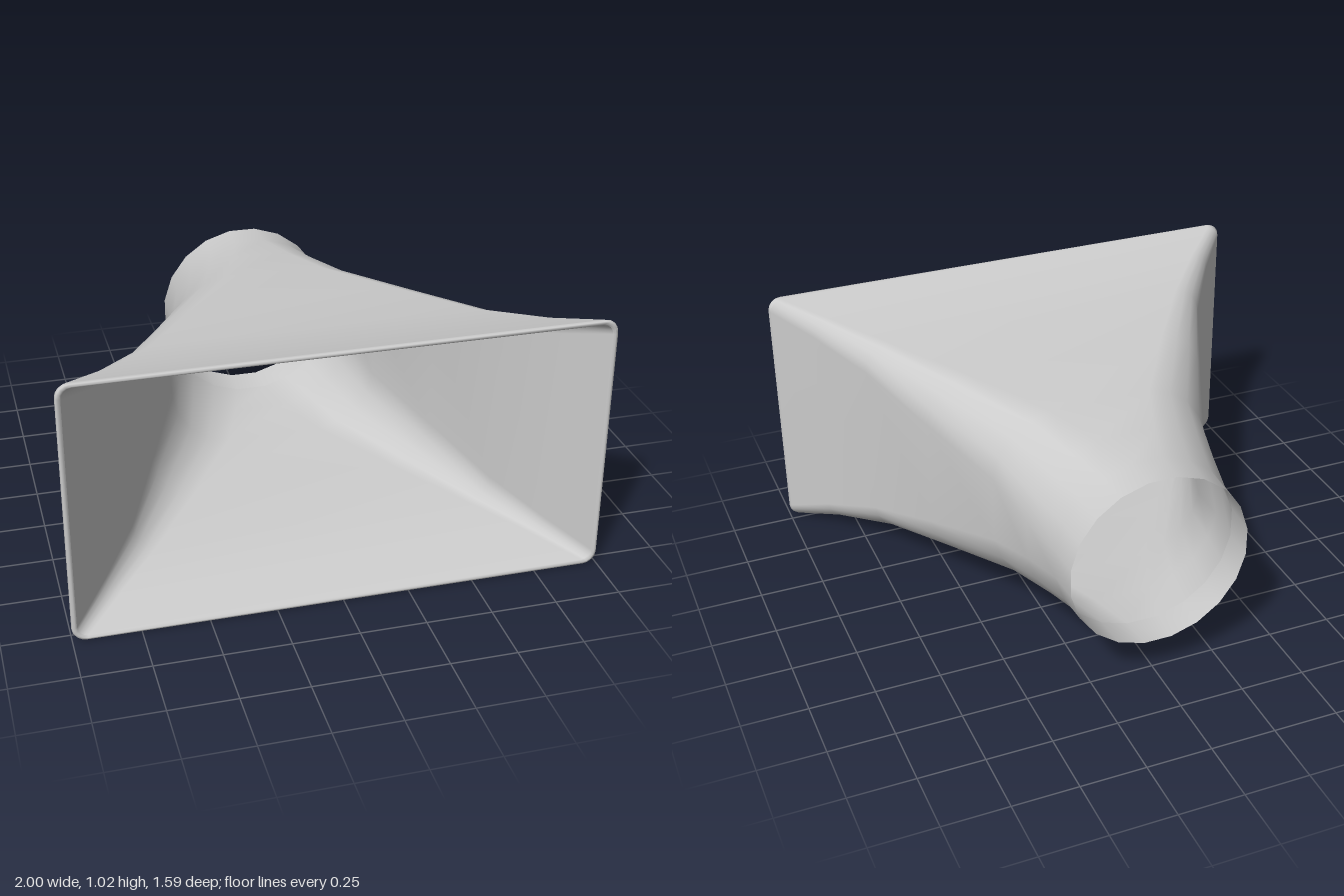
import * as THREE from 'three';

const ARC = 5; // points per corner, 20 around each ring

// Ring: z, half width, half height, corner radius, roundness (0 rectangle, 1 circle), centre y
const OUTER = [
  [-0.795, 0.35, 0.35, 0.35, 1, 0.501],
  [-0.66, 0.356, 0.352, 0.348, 1, 0.501],
  [-0.48, 0.392, 0.361, 0.325, 0.9, 0.502],
  [-0.25, 0.437, 0.376, 0.27, 0.7, 0.504],
  [0.08, 0.58, 0.399, 0.19, 0.4, 0.507],
  [0.40, 0.722, 0.422, 0.11, 0.15, 0.51],
  [0.62, 0.868, 0.463, 0.07, 0, 0.511],
  [0.77, 0.994, 0.506, 0.05, 0, 0.51],
];

// Rolled edge around the mouth
const LIP = [
  [0.77, 0.994, 0.506, 0.05, 0, 0.51],
  [0.782, 1.0, 0.51, 0.05, 0, 0.51],
  [0.792, 0.997, 0.508, 0.05, 0, 0.51],
  [0.795, 0.988, 0.5, 0.045, 0, 0.51],
  [0.788, 0.98, 0.493, 0.04, 0, 0.51],
];

// Points of one ring, a rounded rectangle that turns into a circle
function ringPoints([z, hx, hy, r, round, cy]) {
  const points = [];
  const rx = Math.min(r, hx), ry = Math.min(r, hy);
  for (let q = 0; q < 4; q++) {
    const sx = q === 0 || q === 3 ? 1 : -1;
    const sy = q < 2 ? 1 : -1;
    for (let k = 0; k < ARC; k++) {
      const deg = THREE.MathUtils.lerp(22.5 * k, 9 + 18 * k, round) + 90 * q;
      const a = THREE.MathUtils.degToRad(deg);
      points.push(sx * (hx - rx) + rx * Math.cos(a), cy + sy * (hy - ry) + ry * Math.sin(a), z);
    }
  }
  return points;
}

// Smooth skin through a row of rings
function loft(name, rings, material) {
  const n = ARC * 4;
  const index = [];
  for (let j = 0; j < rings.length - 1; j++) {
    for (let i = 0; i < n; i++) {
      const a = j * n + i, b = j * n + (i + 1) % n;
      index.push(a, b, b + n, a, b + n, a + n);
    }
  }
  const geometry = new THREE.BufferGeometry();
  geometry.setAttribute('position', new THREE.Float32BufferAttribute(rings.flatMap(ringPoints), 3));
  geometry.setIndex(index);
  geometry.computeVertexNormals();
  const mesh = new THREE.Mesh(geometry, material);
  mesh.name = name;
  return mesh;
}

export function createModel() {
  const group = new THREE.Group();
  group.name = 'flaredDuct';
  const material = new THREE.MeshStandardMaterial({ color: 0xcccccc, side: THREE.DoubleSide });

  // Inner wall: the outer rings pulled in slightly, meeting the outer wall at the throat
  const inner = OUTER.slice(1, -1).reverse().map(([z, hx, hy, r, round, cy]) => {
    const t = 0.012 * THREE.MathUtils.clamp((z + 0.66) / 0.5, 0, 1);
    return [z, hx - t, hy - t, r - t, round, cy];
  });

  group.add(
    loft('outerWall', OUTER, material),
    loft('mouthLip', LIP, material),
    loft('innerWall', [LIP[LIP.length - 1], ...inner], material),
  );
  return group;
}
